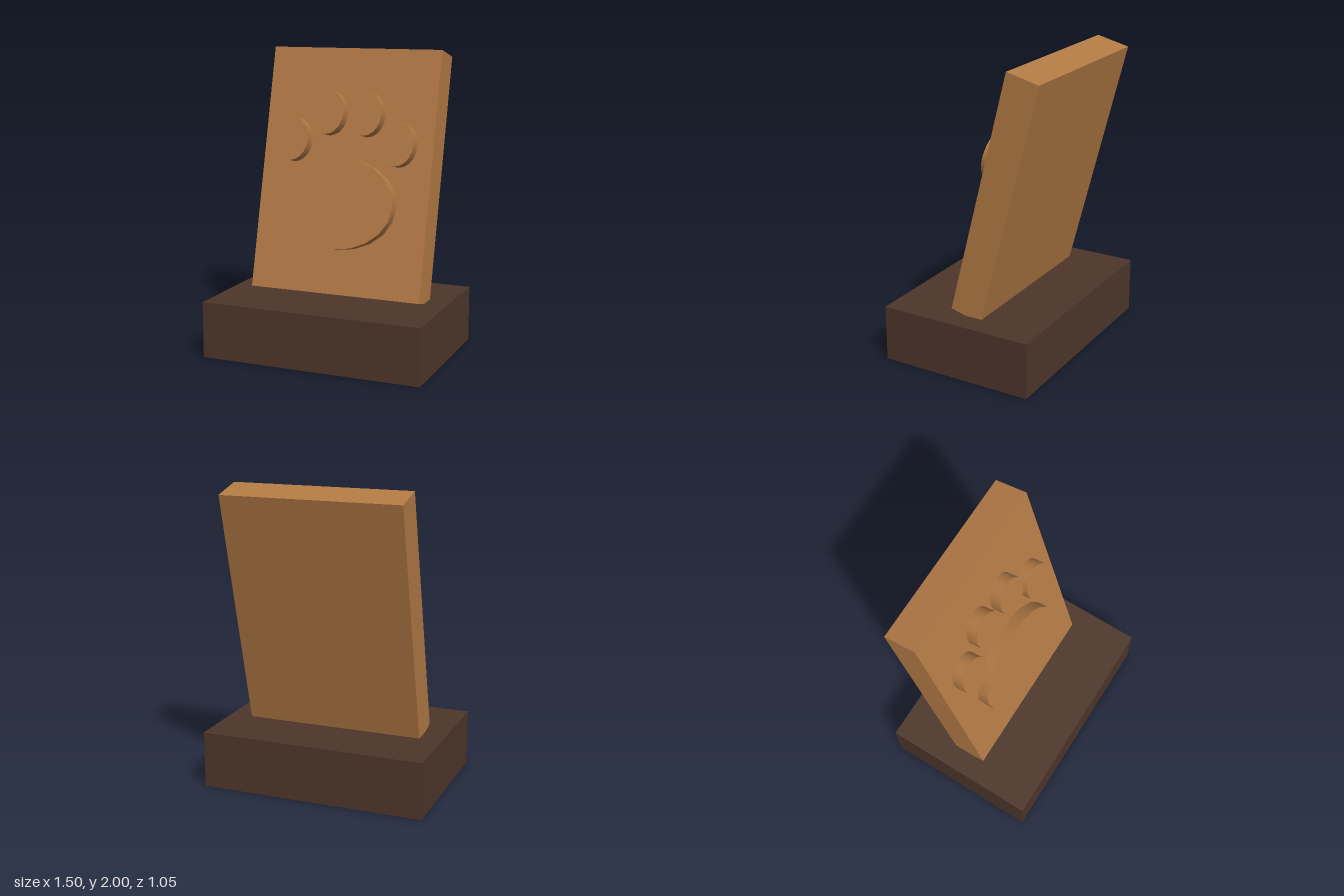
import * as THREE from 'three';

export function createModel() {
  const model = new THREE.Group();
  const wood = new THREE.MeshStandardMaterial({ color: 0xb37a45 });
  const darkWood = new THREE.MeshStandardMaterial({ color: 0x4e362a });

  const add = (parent, name, geometry, material, x, y, z) => {
    const mesh = new THREE.Mesh(geometry, material);
    mesh.name = name;
    mesh.position.set(x, y, z);
    parent.add(mesh);
    return mesh;
  };

  // Plinth
  add(model, 'base', new THREE.BoxGeometry(1.5, 0.375, 1.05), darkWood, 0, 0.1875, 0);

  // Plaque leaning backwards, its foot sunk into the plinth
  const thickness = 0.225;
  const plaque = new THREE.Group();
  plaque.name = 'plaque';
  plaque.position.set(0, 1.173, -0.2025);
  plaque.rotation.x = -0.25;
  model.add(plaque);
  add(plaque, 'slab', new THREE.BoxGeometry(1.2, 1.65, thickness), wood, 0, 0, 0);

  // Raised oval pads of the paw print, overlapping the slab a little
  const raise = 0.082, sink = 0.02;
  const addPad = (name, x, y, rx, ry) => {
    const pad = new THREE.CylinderGeometry(1, 1, raise + sink, 20);
    pad.rotateX(Math.PI / 2).scale(rx, ry, 1);
    add(plaque, name, pad, wood, x, y, thickness / 2 + (raise - sink) / 2);
  };
  addPad('palmPad', 0, -0.223, 0.387, 0.305);
  for (const [side, s] of [['left', 1], ['right', -1]]) {
    addPad(side + 'InnerToe', s * 0.134, 0.378, 0.118, 0.148);
    addPad(side + 'OuterToe', s * 0.373, 0.19, 0.118, 0.148);
  }
  return model;
}
